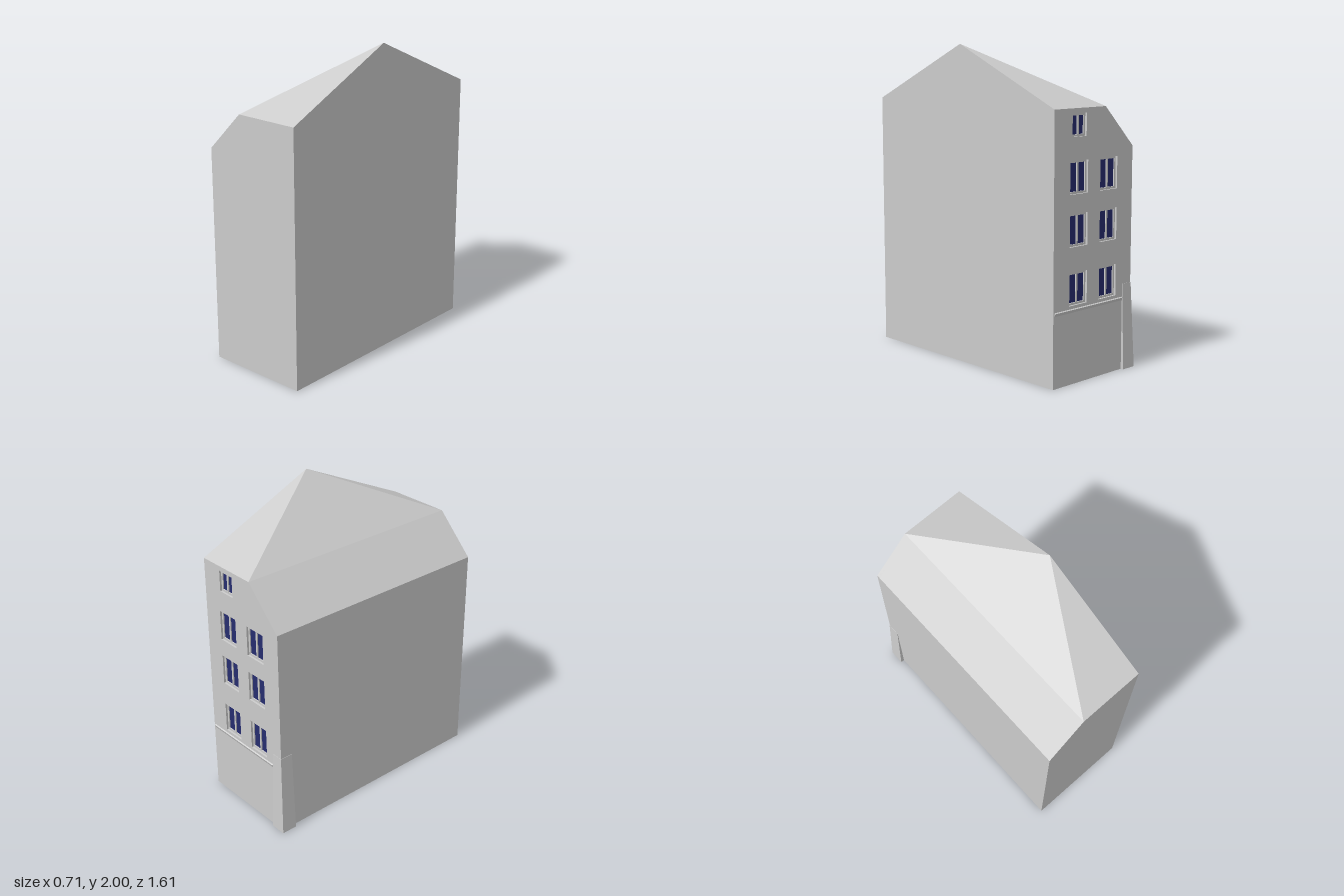
import * as THREE from 'three';

const L = -0.33, R = 0.355, M = -0.08;      // side walls and roof break (x)
const F = 0.803, B = -0.783;                // front and back walls (z)
const EAVE = 1.39, HIP = 1.64, RECESS = 0.022;

const grey = new THREE.MeshStandardMaterial({ color: 0xcccccc, flatShading: true });
const greyDouble = new THREE.MeshStandardMaterial({ color: 0xcccccc, flatShading: true, side: THREE.DoubleSide });
const glass = new THREE.MeshStandardMaterial({ color: 0x262c6e });

// Flat polygons, each a counter-clockwise loop of [x, y, z] corners, cut into fans
function faces(name, polygons, material = grey) {
  const pos = [];
  for (const p of polygons)
    for (let i = 1; i < p.length - 1; i++) pos.push(...p[0], ...p[i], ...p[i + 1]);
  const g = new THREE.BufferGeometry();
  g.setAttribute('position', new THREE.Float32BufferAttribute(pos, 3));
  g.computeVertexNormals();
  const mesh = new THREE.Mesh(g, material);
  mesh.name = name;
  return mesh;
}

function box(name, w, h, d, x, y, z, material = grey) {
  const mesh = new THREE.Mesh(new THREE.BoxGeometry(w, h, d), material);
  mesh.position.set(x, y, z);
  mesh.name = name;
  return mesh;
}

// Two-light window set back in its opening
function makeWindow({ x, y, w, h }) {
  const g = new THREE.Group();
  g.name = 'window';
  const z = B + RECESS, bar = 0.013;
  g.add(box('pane', w, h, 0.004, 0, 0, z, glass));
  for (const s of [-1, 1]) {
    g.add(box('frameSide', bar, h, 0.01, s * (w - bar) / 2, 0, z - 0.004));
    g.add(box('frameRail', w, bar, 0.01, 0, s * (h - bar) / 2, z - 0.004));
  }
  g.add(box('mullion', bar, h, 0.01, 0, 0, z - 0.004));
  g.position.set(x, y, 0);
  return g;
}

export function createModel() {
  const model = new THREE.Group();
  model.name = 'house';
  const apex = [R, 2, 0.02];

  // Plain walls and underside
  model.add(faces('walls', [
    [[L, 0, F], [R, 0, F], [R, HIP, F], [M, HIP, F], [L, EAVE, F]],
    [[R, 0, F], [R, 0, B], [R, HIP, B], apex, [R, HIP, F]],
    [[L, 0, B], [L, 0, F], [L, EAVE, F], [L, EAVE, B]],
    [[L, 0, B], [R, 0, B], [R, 0, F], [L, 0, F]],
  ]));

  // Roof: lower slope, upper slope and two hips
  model.add(faces('roof', [
    [[L, EAVE, B], [L, EAVE, F], [M, HIP, F], [M, HIP, B]],
    [[M, HIP, B], [M, HIP, F], apex],
    [[M, HIP, F], [R, HIP, F], apex],
    [[R, HIP, B], [M, HIP, B], apex],
  ]));

  // Window layout: three rows of two and a small attic one
  const windows = [{ x: 0.145, y: 1.542, w: 0.12, h: 0.135 }];
  for (const y of [0.577, 0.927, 1.238])
    for (const x of [0.145, -0.115]) windows.push({ x, y, w: 0.152, h: 0.196 });

  // Street facade with window openings
  const wall = new THREE.Shape([[L, 0], [R, 0], [R, HIP], [M, HIP], [L, EAVE]].map(p => new THREE.Vector2(...p)));
  for (const { x, y, w, h } of windows) {
    const corners = [[-1, -1], [-1, 1], [1, 1], [1, -1]];
    wall.holes.push(new THREE.Path(corners.map(([a, b]) => new THREE.Vector2(x + a * w / 2, y + b * h / 2))));
  }
  const facade = new THREE.Mesh(new THREE.ExtrudeGeometry(wall, { depth: RECESS, bevelEnabled: false }), grey);
  facade.position.z = B;
  facade.name = 'facade';
  model.add(facade);
  for (const w of windows) model.add(makeWindow(w));

  // Thin ledge above the ground floor, undercut below
  const x0 = -0.25, x1 = 0.345, zo = B - 0.007;
  model.add(faces('ledge', [
    [[x1, 0.437, B], [x0, 0.437, B], [x0, 0.455, zo], [x1, 0.455, zo]],
    [[x1, 0.455, zo], [x0, 0.455, zo], [x0, 0.46, B], [x1, 0.46, B]],
    [[x0, 0.437, B], [x0, 0.46, B], [x0, 0.455, zo]],
    [[x1, 0.437, B], [x1, 0.455, zo], [x1, 0.46, B]],
  ], greyDouble));

  // Corner buttress wrapping two walls, flaring towards the ground
  const bx = -0.355, bz = -0.803, tx = L - 0.002, tz = B - 0.002;
  const ex = -0.253, ez = -0.7, H = 0.54;
  model.add(faces('cornerButtress', [
    [[ex, 0, bz], [bx, 0, bz], [tx, H, tz], [ex, H, tz]],
    [[bx, 0, bz], [bx, 0, ez], [tx, H, ez], [tx, H, tz]],
    [[ex, 0, bz], [ex, H, tz], [ex, H, B], [ex, 0, B]],
    [[bx, 0, ez], [L, 0, ez], [L, H, ez], [tx, H, ez]],
    [[bx, 0, bz], [ex, 0, bz], [ex, 0, B], [bx, 0, B]],
    [[bx, 0, B], [L, 0, B], [L, 0, ez], [bx, 0, ez]],
    [[ex, H, tz], [tx, H, tz], [tx, H, B], [ex, H, B]],
    [[L, H, B], [tx, H, B], [tx, H, ez], [L, H, ez]],
  ], greyDouble));

  return model;
}
